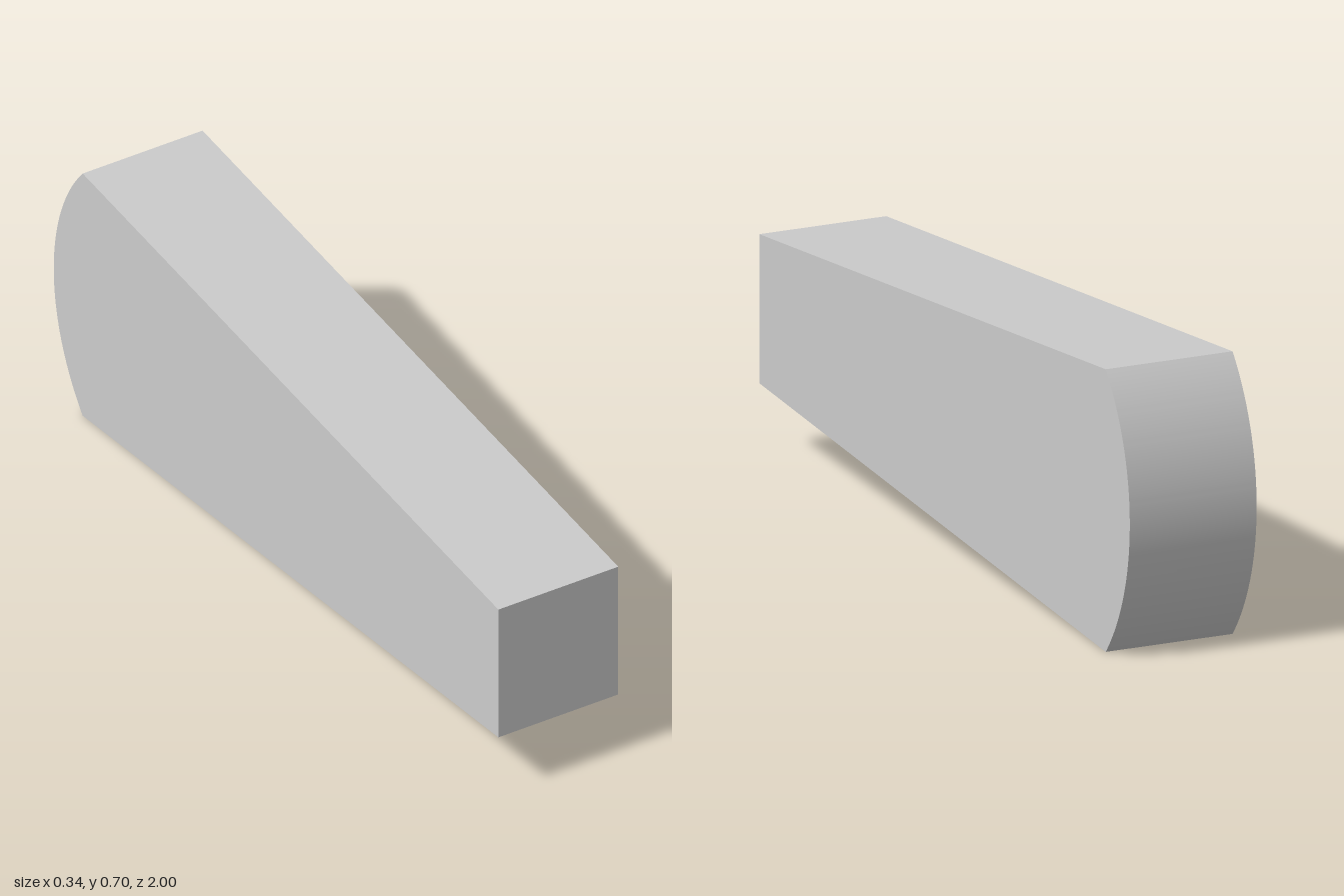
import * as THREE from 'three';
import { toCreasedNormals } from 'three/addons/utils/BufferGeometryUtils.js';

const WIDTH = 0.338, HEIGHT = 0.705;
const FRONT_HALF = 0.186;   // half height of the narrow front end
const CORNER_Z = -0.87;     // where the sloping faces meet the rounded back

export function createModel() {
  const group = new THREE.Group();
  const mid = HEIGHT / 2;

  // Arc through both back corners, bulging to z = -1
  const rise = CORNER_Z + 1;
  const radius = (mid * mid + rise * rise) / (2 * rise);
  const angle = Math.asin(mid / radius);

  // Side profile: shape x is z, shape y is y
  const profile = new THREE.Shape();
  profile.moveTo(1, mid - FRONT_HALF);
  profile.lineTo(1, mid + FRONT_HALF);
  profile.lineTo(CORNER_Z, HEIGHT);
  profile.absarc(radius - 1, mid, radius, Math.PI - angle, Math.PI + angle, false);
  profile.closePath();

  // Extrude across the width and turn the profile to face sideways
  const extruded = new THREE.ExtrudeGeometry(profile, { depth: WIDTH, bevelEnabled: false, curveSegments: 40 });
  extruded.translate(0, 0, -WIDTH / 2).rotateY(-Math.PI / 2);

  const wedge = new THREE.Mesh(
    toCreasedNormals(extruded, Math.PI / 8),
    new THREE.MeshStandardMaterial({ color: 0xcccccc })
  );
  wedge.name = 'roundedWedge';
  group.add(wedge);
  return group;
}
